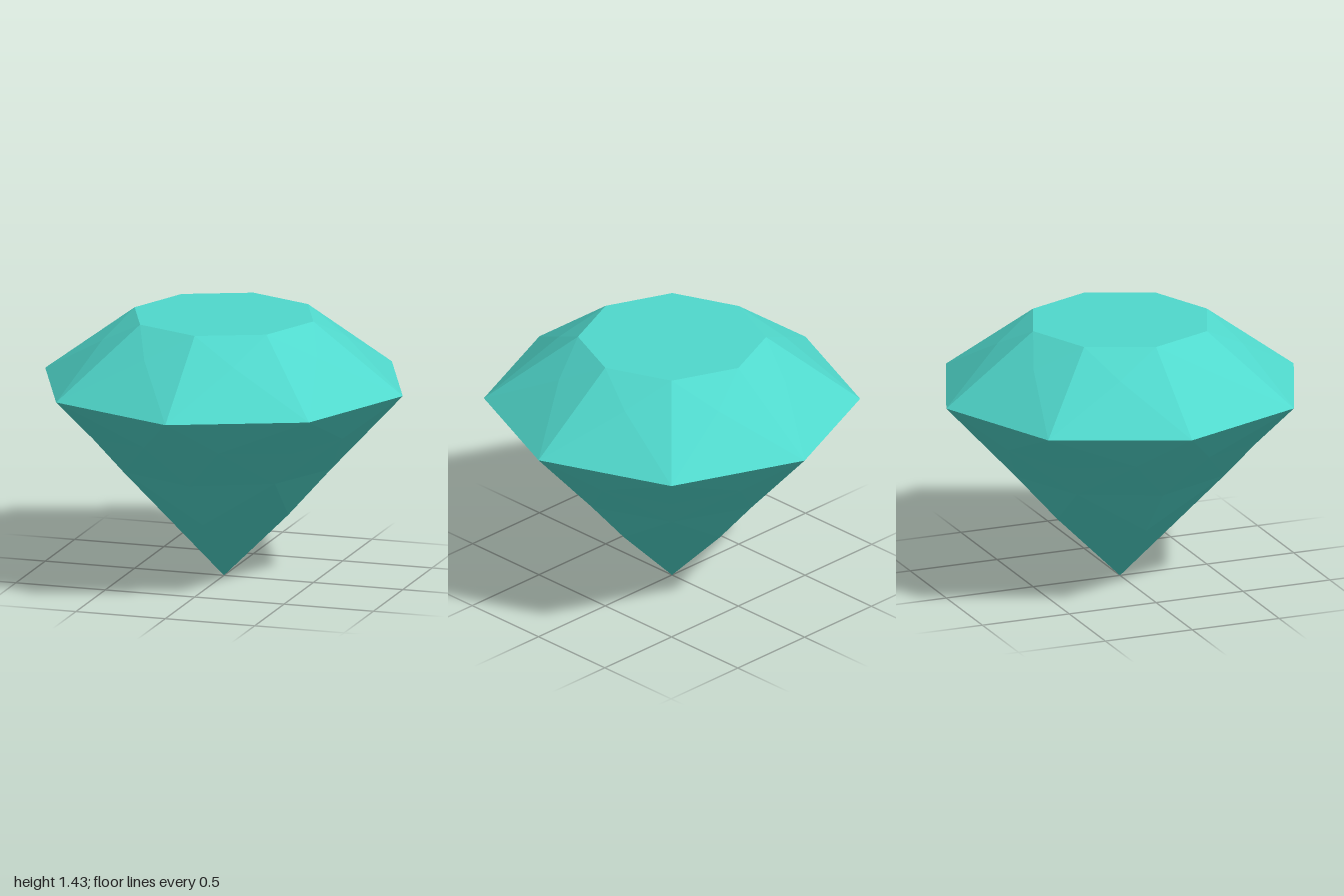
import * as THREE from 'three';

const GIRDLE_Y = 1.06;
const TABLE_Y = 1.43;

// Point at a radius, an angle in degrees and a height
function ring(radius, degrees, y) {
  const a = THREE.MathUtils.degToRad(degrees);
  return new THREE.Vector3(radius * Math.cos(a), y, radius * Math.sin(a));
}

// Flat facets, each turned to face away from the heart of the stone
function facetMesh(name, triangles, material) {
  const core = new THREE.Vector3(0, 0.95, 0);
  const positions = [];
  for (const [a, b, c] of triangles) {
    const normal = b.clone().sub(a).cross(c.clone().sub(a));
    const outward = normal.dot(a.clone().sub(core)) > 0;
    for (const p of outward ? [a, b, c] : [a, c, b]) positions.push(p.x, p.y, p.z);
  }
  const geometry = new THREE.BufferGeometry();
  geometry.setAttribute('position', new THREE.Float32BufferAttribute(positions, 3));
  geometry.computeVertexNormals();
  const mesh = new THREE.Mesh(geometry, material);
  mesh.name = name;
  return mesh;
}

export function createModel() {
  const turquoise = new THREE.MeshStandardMaterial({ color: 0x50d8cc, flatShading: true });
  turquoise.name = 'turquoise';

  const table = [];
  const crown = [];
  const pavilion = [];
  const tableCentre = new THREE.Vector3(0, TABLE_Y, 0);
  const culet = new THREE.Vector3(0, 0, 0);

  // Table and crown: eight equal sectors
  for (let i = 0; i < 8; i++) {
    const a = i * 45;
    const g0 = ring(1, a, GIRDLE_Y);
    const g1 = ring(1, a + 45, GIRDLE_Y);
    const t0 = ring(0.5, a, TABLE_Y);
    const t1 = ring(0.5, a + 45, TABLE_Y);
    const mid = ring(0.65, a + 22.5, 1.3);
    table.push([tableCentre, t0, t1]);
    crown.push([t0, t1, mid], [g0, t0, mid], [g1, t1, mid], [g0, g1, mid]);
  }

  // Pavilion: four quarters, each mirrored about its main ridge
  for (let i = 0; i < 4; i++) {
    for (const side of [1, -1]) {
      const main = i * 90;
      const diagonal = main + side * 45;
      const g0 = ring(1, main, GIRDLE_Y);
      const g1 = ring(1, diagonal, GIRDLE_Y);
      const knee0 = ring(0.6, main, 0.63);
      const knee1 = ring(0.6, diagonal, 0.635);
      const lower = ring(0.36, main, 0.36);
      const star = ring(0.76, main + side * 16, 0.855);
      const ridge = ring(0.78, diagonal, 0.835);
      pavilion.push(
        [g0, g1, star],
        [g0, star, knee0],
        [g1, ridge, star],
        [star, ridge, knee1],
        [star, knee1, knee0],
        [knee0, knee1, lower],
        [lower, knee1, culet],
      );
    }
  }

  const gem = new THREE.Group();
  gem.name = 'gem';
  gem.add(
    facetMesh('table', table, turquoise),
    facetMesh('crown', crown, turquoise),
    facetMesh('pavilion', pavilion, turquoise),
  );
  return gem;
}
